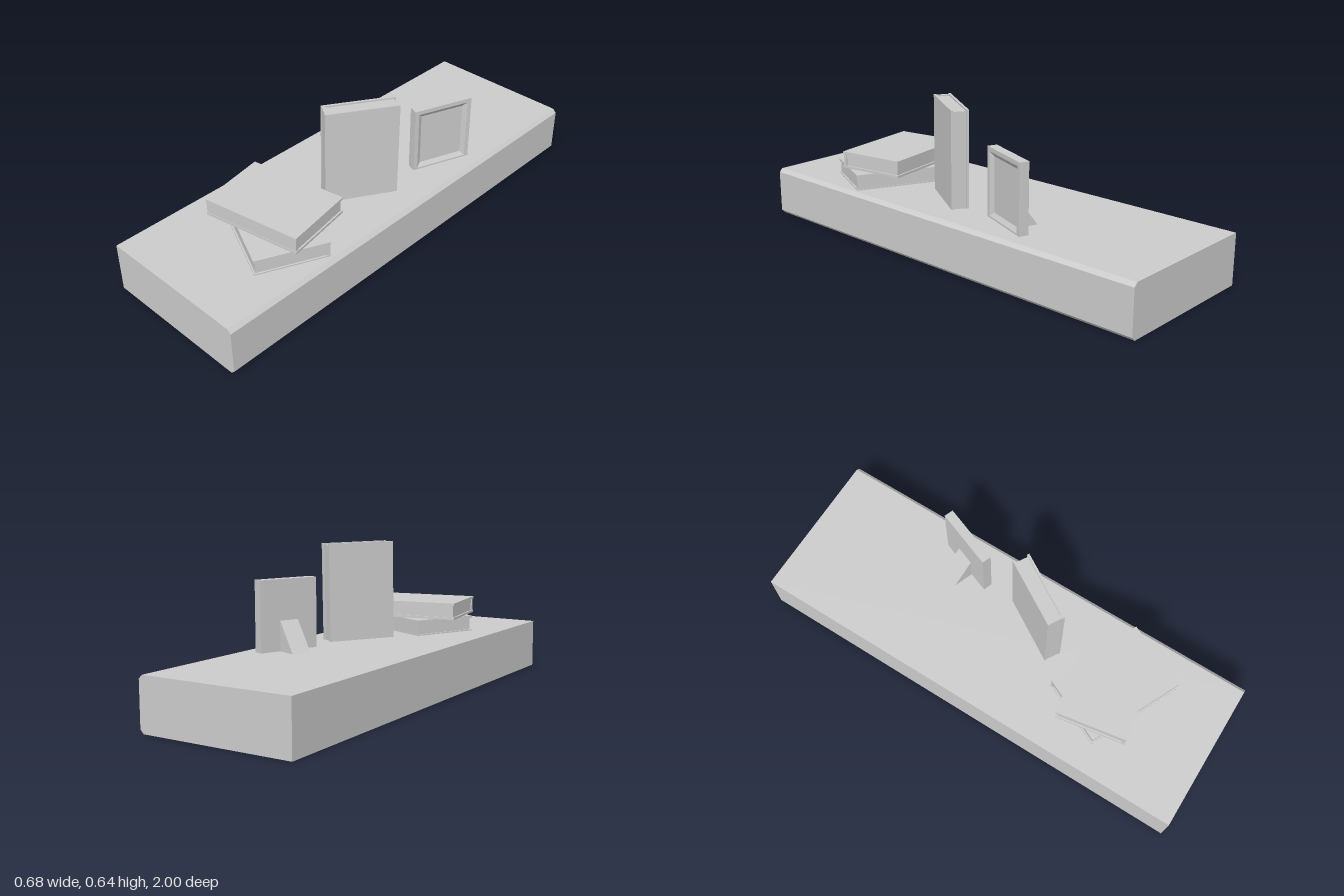
import * as THREE from 'three';

const material = new THREE.MeshStandardMaterial({ color: 0xcccccc, flatShading: true });

function addMesh(parent, name, geometry, x = 0, y = 0, z = 0) {
  const mesh = new THREE.Mesh(geometry, material);
  mesh.name = name;
  mesh.position.set(x, y, z);
  parent.add(mesh);
  return mesh;
}

// Prism along z from an outline in x, y, centred on z = 0
function prism(points, depth) {
  const shape = new THREE.Shape(points.map(([x, y]) => new THREE.Vector2(x, y)));
  return new THREE.ExtrudeGeometry(shape, { depth, bevelEnabled: false }).translate(0, 0, -depth / 2);
}

// Skin through rectangles [halfWidth, halfHeight, z], closed at both ends
function rectangleLoft(sections) {
  const corners = [[-1, -1], [1, -1], [1, 1], [-1, 1]];
  const rings = sections.map(([w, h, z]) => corners.map(([x, y]) => [x * w, y * h, z]));
  const positions = [];
  const quad = (a, b, c, d) => positions.push(...a, ...b, ...c, ...a, ...c, ...d);
  for (let i = 0; i < rings.length - 1; i++) {
    for (let k = 0; k < 4; k++) {
      const n = (k + 1) % 4;
      quad(rings[i][k], rings[i][n], rings[i + 1][n], rings[i + 1][k]);
    }
  }
  quad(...[...rings[0]].reverse());
  quad(...rings[rings.length - 1]);
  const geometry = new THREE.BufferGeometry();
  geometry.setAttribute('position', new THREE.Float32BufferAttribute(positions, 3));
  geometry.computeVertexNormals();
  return geometry;
}

// Book lying flat: length on x, thickness on y, spine at +z
function makeBook(name) {
  const length = 0.437, thickness = 0.074, width = 0.306;
  const cover = 0.0105, spine = 0.015, inset = 0.007, spineInset = 0.002;
  const inner = thickness - 2 * cover;
  const book = new THREE.Group();
  book.name = name;
  for (const side of [-1, 1]) {
    addMesh(book, side > 0 ? 'topCover' : 'bottomCover',
      new THREE.BoxGeometry(length, cover, width), 0, side * (thickness - cover) / 2, 0);
  }
  addMesh(book, 'spine', new THREE.BoxGeometry(length - 2 * spineInset, inner, spine),
    0, 0, width / 2 - spine / 2 - spineInset);
  const pageWidth = width - inset - spine - spineInset;
  addMesh(book, 'pages', new THREE.BoxGeometry(length - 2 * inset, inner, pageWidth),
    0, 0, -width / 2 + inset + pageWidth / 2);
  return book;
}

export function createModel() {
  const model = new THREE.Group();
  model.name = 'shelfWithBooks';

  // Shelf board with a chamfered front edge along +x
  const top = 0.218, c = 0.016;
  addMesh(model, 'shelf', prism([
    [-0.338, 0], [0.337 - c, 0], [0.337, c], [0.337, top - c], [0.337 - c, top], [-0.338, top],
  ], 2));

  // Two stacked books
  const lower = makeBook('lowerBook');
  lower.position.set(0.047, 0.25, 0.5185);
  lower.rotation.y = Math.PI - 0.435;
  const upper = makeBook('upperBook');
  upper.position.set(0.0265, 0.324, 0.4975);
  upper.rotation.y = 0.17;

  // Upright book, leaning very slightly
  const upright = makeBook('uprightBook');
  upright.position.set(0.1055, 0.4195, 0.097);
  upright.rotation.set(-0.014, -0.547, Math.PI / 2, 'YXZ');
  model.add(lower, upper, upright);

  // Picture frame facing its local +z, with a bevelled recess
  const picture = new THREE.Group();
  picture.name = 'pictureFrame';
  const w = 0.134, h = 0.152, d = 0.0205;
  addMesh(picture, 'frame', rectangleLoft([
    [w, h, -d], [w, h, d], [w - 0.018, h - 0.018, d], [w - 0.036, h - 0.036, d - 0.012],
  ]));

  // Wedge-shaped support behind the frame
  const foot = top - 0.359;
  const stand = addMesh(picture, 'stand',
    prism([[0, foot], [0.09, foot], [0, foot + 0.125]], 0.085), 0, 0, -d);
  stand.rotation.y = Math.PI / 2;
  picture.position.set(0.198, 0.359, -0.303);
  picture.rotation.y = 1.206;
  model.add(picture);

  return model;
}
